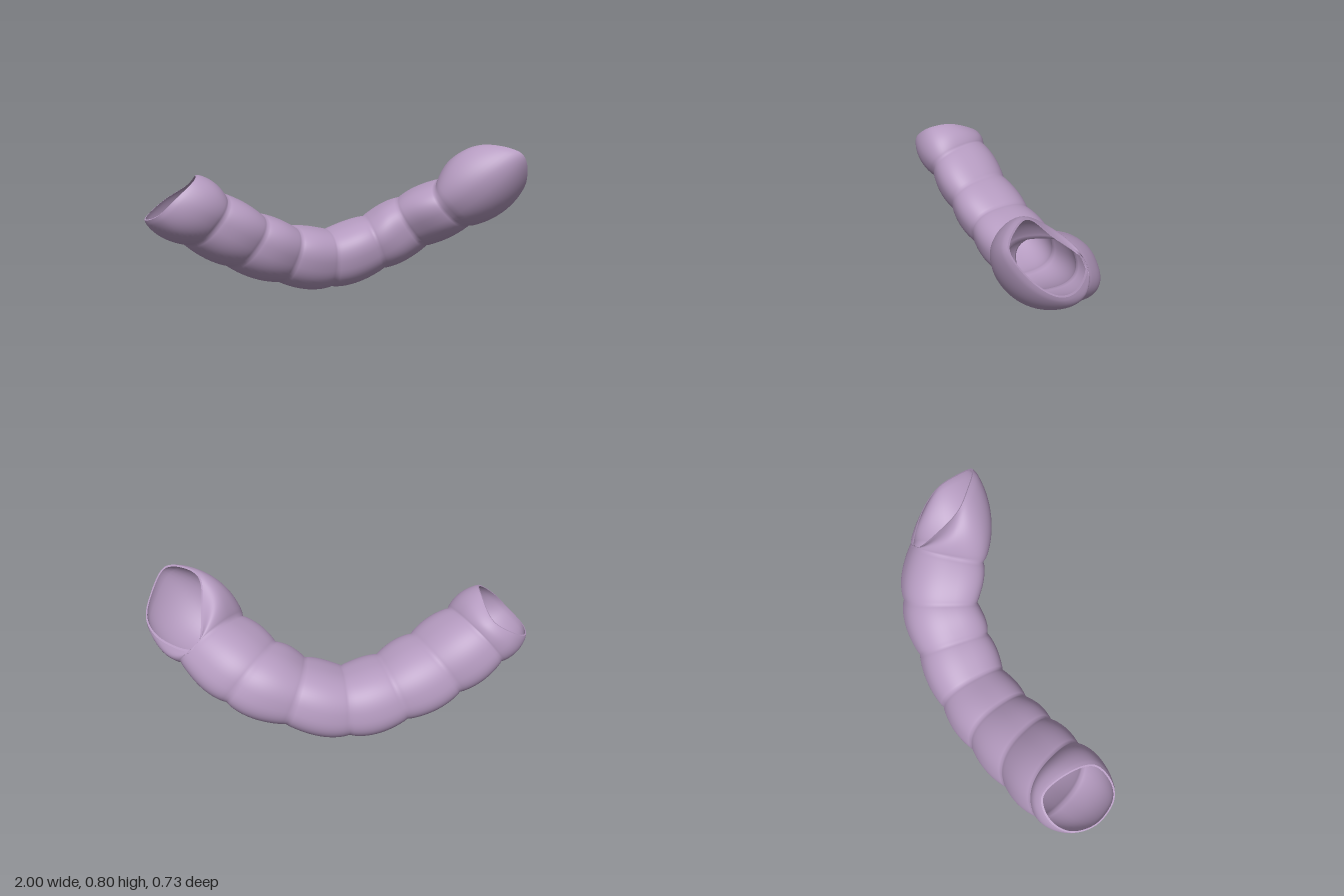
import * as THREE from 'three';

const V = (a) => new THREE.Vector3(...a);
const SIDES = 64, STEPS = 16;

// Seams between segments: centre, half-vector to the top, half-vector to the front
const SEAMS = [
  [[-0.71, 0.45, -0.07], [0.098, 0.125, 0.02], [0.05, -0.015, 0.18]],
  [[-0.495, 0.317, -0.105], [0.09, 0.133, 0.025], [0.045, -0.01, 0.183]],
  [[-0.255, 0.215, -0.143], [0.053, 0.145, 0.03], [0.02, -0.01, 0.185]],
  [[0, 0.17, -0.165], [0, 0.155, 0.03], [0, -0.01, 0.183]],
  [[0.26, 0.245, -0.143], [-0.058, 0.14, 0.025], [-0.03, -0.015, 0.185]],
  [[0.48, 0.357, -0.10], [-0.1, 0.128, 0.01], [-0.085, -0.02, 0.17]],
  [[0.665, 0.48, 0.05], [-0.112, 0.11, 0], [-0.112, -0.04, 0.15]],
];

// Slanted open mouths, from the front round over the top, back and bottom
const LEFT_RIM = [[0.89, 0.765, 0.345], [0.77, 0.805, 0.25], [0.70, 0.785, 0.16], [0.70, 0.67, 0.04],
  [0.745, 0.52, -0.115], [0.93, 0.51, 0.03], [1.0, 0.56, 0.17], [0.97, 0.65, 0.28]];
const RIGHT_RIM = [[-0.87, 0.575, 0.135], [-0.765, 0.66, 0.09], [-0.735, 0.675, -0.03], [-0.76, 0.60, -0.2],
  [-0.87, 0.53, -0.22], [-0.965, 0.47, -0.15], [-0.995, 0.46, -0.02], [-0.945, 0.5, 0.105]];

const spline = SEAMS[0].map((_, k) => new THREE.CatmullRomCurve3(SEAMS.map((s) => V(s[k]))));
const swell = (t) => Math.pow(Math.max(0, Math.sin(Math.PI * t)), 0.75);
const soft = (v) => Math.sign(v) * Math.pow(Math.abs(v), 0.82);

// Rounded-square ring at position u along the body
function bodyRing(u, scale) {
  const [c, up, front] = spline.map((s) => s.getPoint(u));
  return Array.from({ length: SIDES }, (_, j) => {
    const a = (j / SIDES) * Math.PI * 2;
    return c.clone().addScaledVector(front, soft(Math.cos(a)) * scale)
      .addScaledVector(up, soft(Math.sin(a)) * scale);
  });
}

function centreOf(ring) {
  return ring.reduce((s, p) => s.add(p), new THREE.Vector3()).divideScalar(ring.length);
}

// Rings swelling from a seam out to a mouth
function endRings(u, rimPoints, bulge) {
  const base = bodyRing(u, 1);
  const curve = new THREE.CatmullRomCurve3(rimPoints.map(V), true);
  const rim = base.map((_, j) => curve.getPoint(j / SIDES));
  const c0 = centreOf(base), c1 = centreOf(rim);
  return Array.from({ length: STEPS + 1 }, (_, i) => {
    const t = i / STEPS, c = c0.clone().lerp(c1, t);
    return base.map((p, j) => {
      const q = p.clone().lerp(rim[j], t);
      const out = q.clone().sub(c).normalize();
      return q.addScaledVector(out, p.distanceTo(rim[j]) * bulge * swell(t));
    });
  });
}

// Ring drawn in towards its centre by the wall thickness
const inset = (ring) => {
  const c = centreOf(ring);
  return ring.map((p) => p.clone().sub(c).multiplyScalar(0.95).add(c));
};

// Skin over a list of rings
function skin(rings) {
  const pos = [], index = [];
  rings.forEach((r) => r.forEach((p) => pos.push(p.x, p.y, p.z)));
  for (let i = 0; i < rings.length - 1; i++) {
    for (let j = 0; j < SIDES; j++) {
      const k = (j + 1) % SIDES;
      const a = i * SIDES + j, b = a + SIDES, c = i * SIDES + k, d = c + SIDES;
      index.push(a, b, c, c, b, d);
    }
  }
  const g = new THREE.BufferGeometry();
  g.setAttribute('position', new THREE.Float32BufferAttribute(pos, 3));
  g.setIndex(index);
  g.computeVertexNormals();
  return g;
}

export function createModel() {
  const group = new THREE.Group();
  const mauve = new THREE.MeshStandardMaterial({ color: 0xb59bc0, side: THREE.DoubleSide });
  mauve.name = 'mauve';
  const add = (name, rings) => {
    const mesh = new THREE.Mesh(skin(rings), mauve);
    mesh.name = name;
    group.add(mesh);
  };

  // Right mouth, swollen body segments, left mouth, all running towards +x
  const count = SEAMS.length - 1;
  const rings = endRings(0, RIGHT_RIM, 0.13).reverse();
  for (let i = 1; i < count * STEPS; i++) {
    rings.push(bodyRing(i / (count * STEPS), 1 + 0.11 * swell((i % STEPS) / STEPS)));
  }
  rings.push(...endRings(1, LEFT_RIM, 0.15));

  // Outer shell and the inner wall facing the hollow
  const inner = rings.map(inset);
  add('segmentedShell', rings);
  add('lining', [...inner].reverse());

  // Thin lips joining the shell to the lining
  add('rightLip', [inner[0], rings[0]]);
  add('leftLip', [rings.at(-1), inner.at(-1)]);

  // Rest the body on the ground
  const low = new THREE.Box3().setFromObject(group).min.y;
  group.children.forEach((m) => m.geometry.translate(0, -low, 0));
  return group;
}
